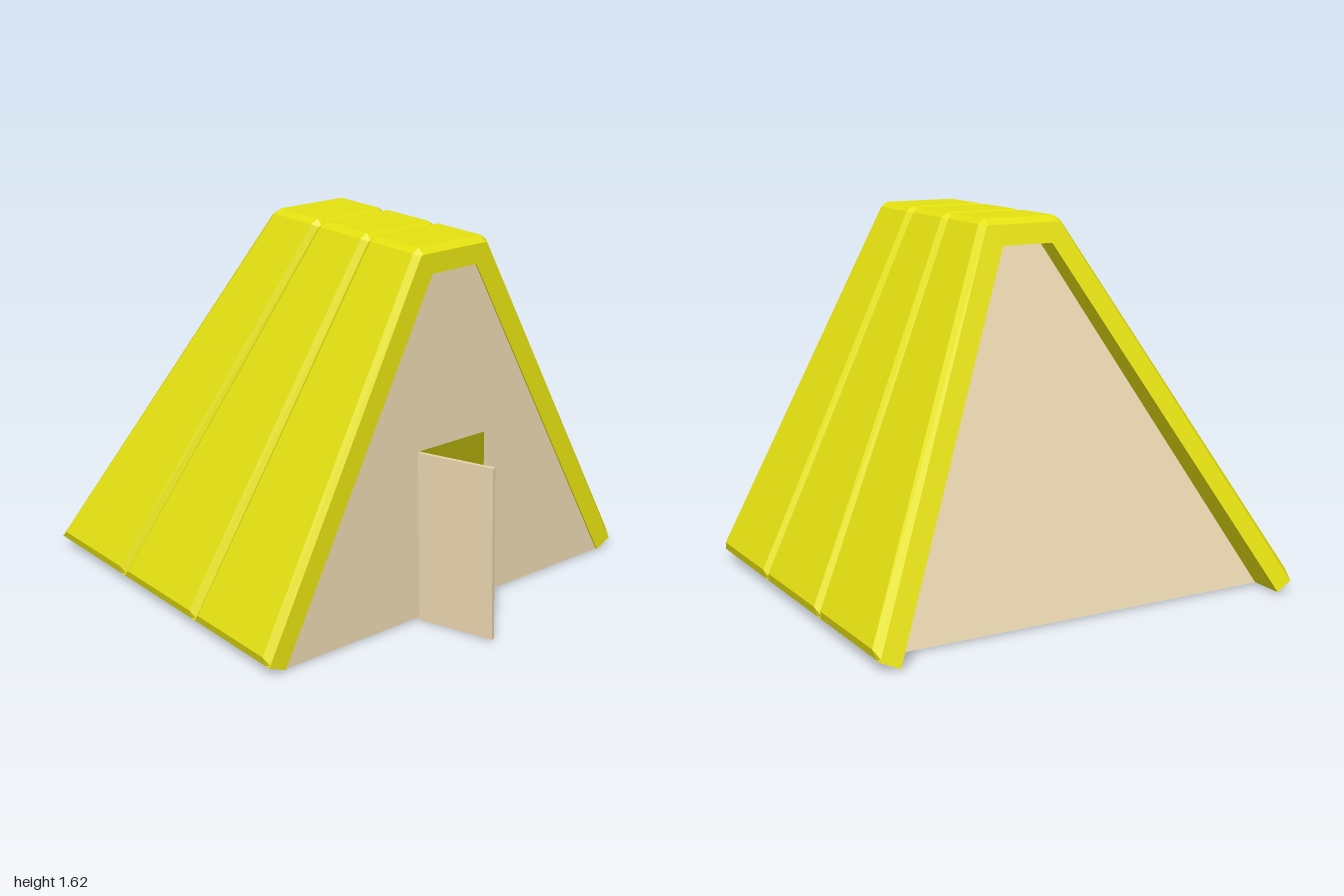
import * as THREE from 'three';

const YELLOW = new THREE.MeshStandardMaterial({ color: 0xe4e010, flatShading: true });
const TAN = new THREE.MeshStandardMaterial({ color: 0xe8d5ae, flatShading: true, side: THREE.DoubleSide });

const lerp = THREE.MathUtils.lerp;

// Closed A-frame outline (counter-clockwise from the front) from its right outer half
function outline(half) {
  const left = half.map(([x, y]) => [-x, y]).reverse();
  return [...half, ...left, [-0.12, 1.51], [0.12, 1.51]];
}

// Outline at the seams and ends, and the fuller outline of each panel
const RIM = outline([[0.91, 0.01], [0.99, 0.045], [0.985, 0.055], [0.183, 1.587], [0.17, 1.595]]);
const FULL = outline([[0.91, 0.01], [0.99, 0.045], [1, 0.085], [0.2, 1.598], [0.17, 1.62]]);

// Depth of each panel boundary: [at the ground, at the ridge]
const SEAMS = [[0.66, 0.622], [0.125, 0.298], [-0.44, -0.032], [-1.0, -0.355]];

// Three bevelled panels lofted as one shell, with grooves at the seams
function roofGeometry() {
  const rings = [];
  const addRing = (profile, [z0, z1], shift) =>
    rings.push(profile.map(([x, y]) => [x, y, lerp(z0, z1, (y - 0.01) / 1.61) + shift]));
  for (let k = 0; k < 3; k++) {
    if (k === 0) addRing(RIM, SEAMS[0], 0);
    addRing(FULL, SEAMS[k], -0.03);
    addRing(FULL, SEAMS[k + 1], 0.033);
    addRing(RIM, SEAMS[k + 1], 0);
  }
  const n = RIM.length;
  const index = [];
  for (let r = 0; r < rings.length - 1; r++) {
    for (let i = 0; i < n; i++) {
      const j = (i + 1) % n;
      const a = r * n + i, b = r * n + j, c = b + n, d = a + n;
      index.push(a, d, c, a, c, b);
    }
  }
  // Front and back end faces
  const last = (rings.length - 1) * n;
  const contour = RIM.map(([x, y]) => new THREE.Vector2(x, y));
  for (const [a, b, c] of THREE.ShapeUtils.triangulateShape(contour, [])) {
    index.push(a, b, c, last + a, last + c, last + b);
  }
  const geometry = new THREE.BufferGeometry();
  geometry.setAttribute('position', new THREE.Float32BufferAttribute(rings.flat(2), 3));
  geometry.setIndex(index);
  const flat = geometry.toNonIndexed();
  flat.computeVertexNormals();
  return flat;
}

// Flat end wall leaning from z0 at the ground to z1 at its top
function wallGeometry(points, z0, z1) {
  const geometry = new THREE.ShapeGeometry(new THREE.Shape(points.map(([x, y]) => new THREE.Vector2(x, y))));
  const p = geometry.attributes.position;
  for (let i = 0; i < p.count; i++) p.setZ(i, lerp(z0, z1, p.getY(i) / 1.51));
  geometry.computeVertexNormals();
  return geometry;
}

function add(parent, name, geometry, material) {
  const mesh = new THREE.Mesh(geometry, material);
  mesh.name = name;
  parent.add(mesh);
  return mesh;
}

export function createModel() {
  const model = new THREE.Group();
  model.name = 'tent';

  add(model, 'roof', roofGeometry(), YELLOW);

  // End walls; the front one has a doorway notch
  const gable = [[0.91, 0.01], [0.12, 1.51], [-0.12, 1.51], [-0.91, 0.01]];
  const doorway = [[-0.18, 0.01], [-0.18, 0.765], [0.18, 0.765], [0.18, 0.01]];
  add(model, 'frontWall', wallGeometry([...gable, ...doorway], 0.652, 0.618), TAN);
  add(model, 'backWall', wallGeometry(gable, -0.85, -0.29), TAN);

  // Floor
  const floor = add(model, 'floor', new THREE.PlaneGeometry(1.82, 1.5), TAN);
  floor.rotation.x = -Math.PI / 2;
  floor.position.set(0, 0.011, -0.1);

  // Open door, hinged at the right of the doorway and leaning with the wall
  const hinge = new THREE.Group();
  hinge.name = 'doorHinge';
  hinge.position.set(-0.187, 0, 0.655);
  hinge.rotation.set(-0.03, -1.28, 0);
  const door = add(hinge, 'door', new THREE.BoxGeometry(0.355, 0.76, 0.018), TAN);
  door.position.set(0.178, 0.38, 0);
  model.add(hinge);

  return model;
}
